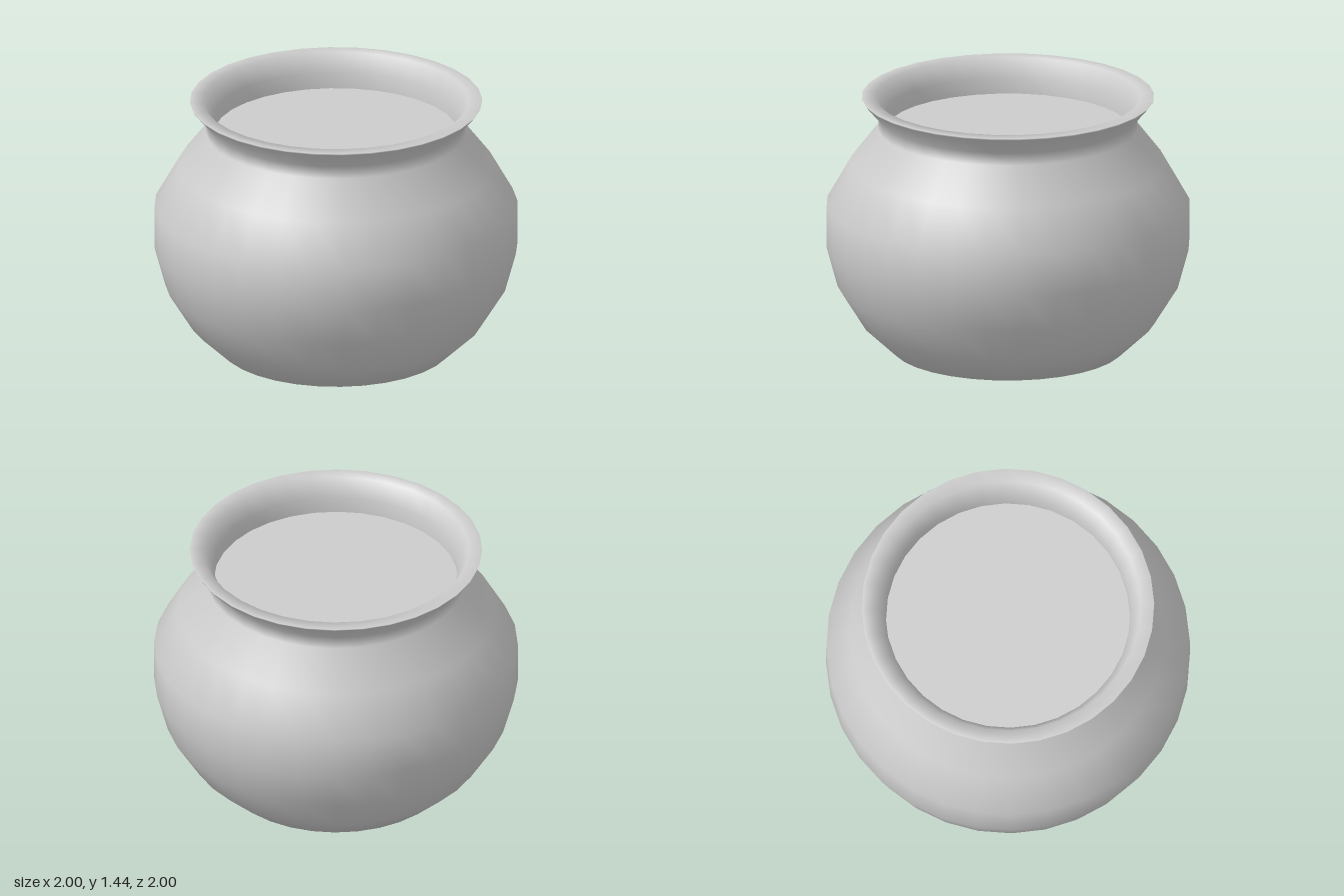
import * as THREE from 'three';

const SIDES = 32;

export function createModel() {
  const group = new THREE.Group();
  group.name = 'pot';
  const material = new THREE.MeshStandardMaterial({ color: 0xcccccc });

  // Body: closed base, round belly, straight neck, flared lip, inner wall
  const profile = [
    [0, 0], [0.64, 0], [0.81, 0.16], [0.94, 0.37], [1.0, 0.59], [1.0, 0.83],
    [0.87, 1.06], [0.715, 1.26], [0.715, 1.33], [0.8, 1.43], [0.805, 1.44],
    [0.73, 1.44], [0.675, 1.34], [0.67, 1.22],
  ].map(([r, y]) => new THREE.Vector2(r, y));
  const body = new THREE.Mesh(new THREE.LatheGeometry(profile, SIDES), material);
  body.name = 'potBody';
  group.add(body);

  // Flat surface of the contents, just below the neck opening
  const contents = new THREE.Mesh(new THREE.CircleGeometry(0.672, SIDES), material);
  contents.name = 'contentsSurface';
  contents.rotation.x = -Math.PI / 2;
  contents.position.y = 1.25;
  group.add(contents);

  return group;
}
